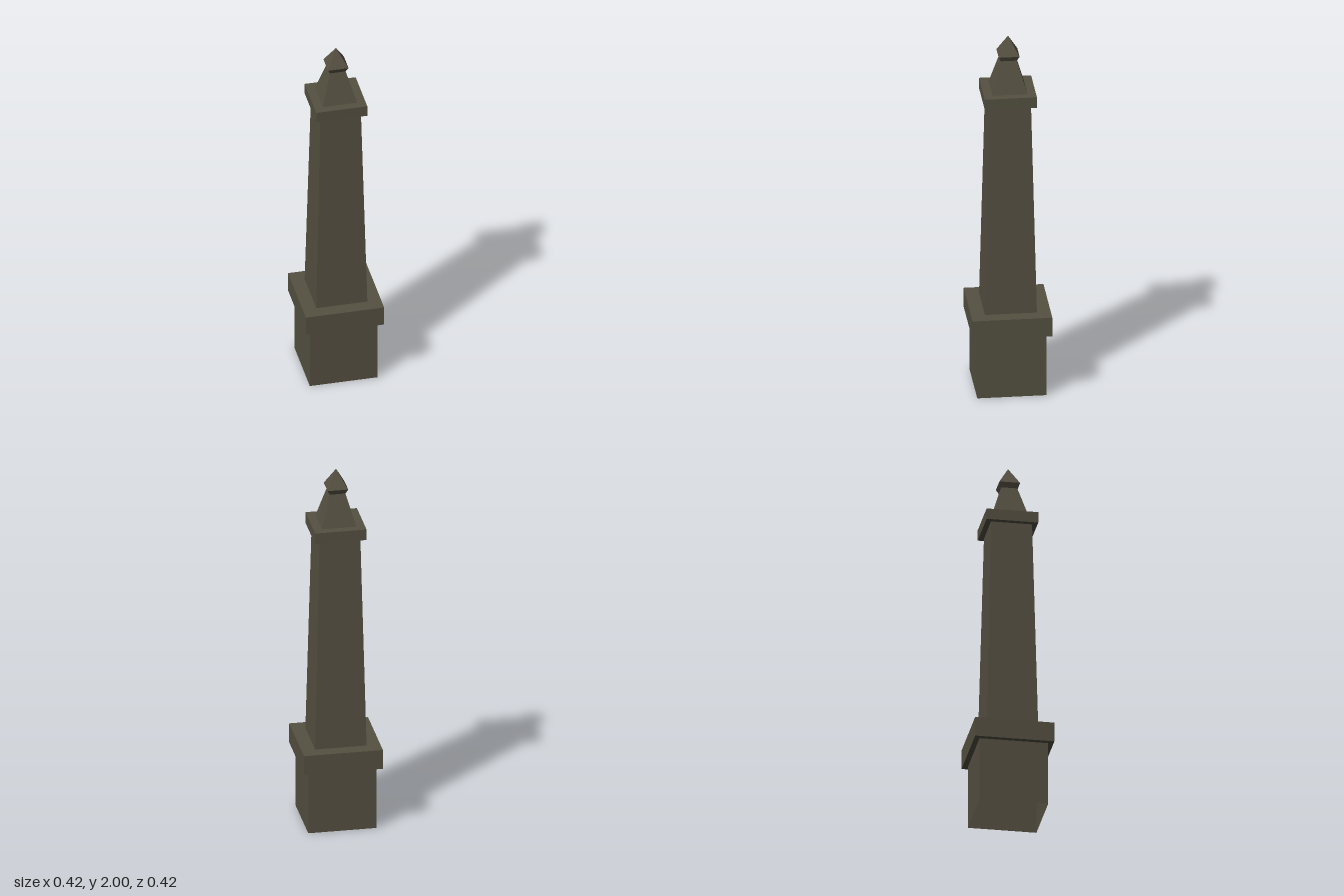
import * as THREE from 'three';

const stone = new THREE.MeshStandardMaterial({ color: 0x555041, side: THREE.DoubleSide, flatShading: true });
stone.name = 'dark stone';

// Square-section shell from [half width, height] points, bottom to top
function squareShell(name, profile) {
  const points = profile.map(([half, y]) => new THREE.Vector2(half * Math.SQRT2, y));
  const geometry = new THREE.LatheGeometry(points, 4, Math.PI / 4).toNonIndexed();
  geometry.computeVertexNormals();
  const mesh = new THREE.Mesh(geometry, stone);
  mesh.name = name;
  return mesh;
}

export function createModel() {
  const group = new THREE.Group();
  group.name = 'obelisk';
  group.add(
    // Pedestal, hollow and open underneath
    squareShell('pedestal', [[0.182, 0], [0.182, 0.35]]),
    // Overhanging slab with underside and top ledges
    squareShell('pedestalSlab', [[0.182, 0.35], [0.21, 0.35], [0.21, 0.458], [0.137, 0.458]]),
    // Tapering shaft
    squareShell('shaft', [[0.137, 0.458], [0.109, 1.64]]),
    // Collar at the head of the shaft
    squareShell('collar', [[0.109, 1.64], [0.137, 1.64], [0.137, 1.7], [0.092, 1.7]]),
    // Steep spire narrowing to a neck
    squareShell('spire', [[0.092, 1.7], [0.042, 1.873]]),
    // Flared pyramid finial
    squareShell('finial', [[0.042, 1.873], [0.055, 1.9], [0, 2]]),
  );
  return group;
}
